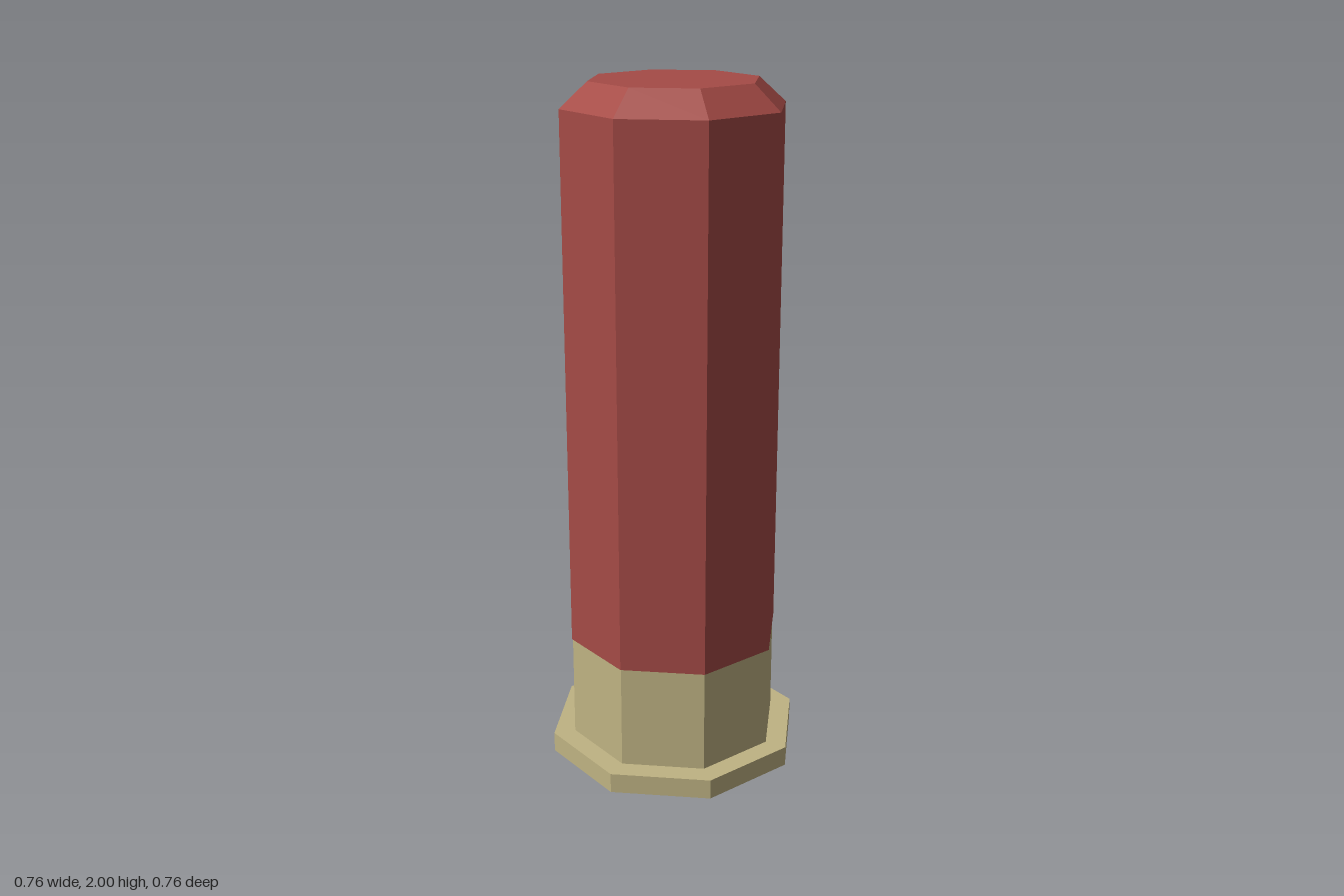
import * as THREE from 'three';

export function createModel() {
  const group = new THREE.Group();
  const red = new THREE.MeshStandardMaterial({ color: 0xa54b46, flatShading: true });
  const brass = new THREE.MeshStandardMaterial({ color: 0xbfb383, flatShading: true });

  // Eight-sided section between two heights
  const section = (name, material, bottomRadius, topRadius, y0, y1, open = false) => {
    const geometry = new THREE.CylinderGeometry(topRadius, bottomRadius, y1 - y0, 8, 1, open);
    const mesh = new THREE.Mesh(geometry, material);
    mesh.name = name;
    mesh.position.y = (y0 + y1) / 2;
    group.add(mesh);
  };

  section('baseRim', brass, 0.38, 0.38, 0, 0.06);
  section('metalCup', brass, 0.315, 0.315, 0.06, 0.37, true);

  // Tube and bevelled crimp form one closed profile
  const profile = [[0, 0.37], [0.318, 0.37], [0.318, 1.93], [0.24, 2], [0, 2]];
  const tube = new THREE.Mesh(
    new THREE.LatheGeometry(profile.map(([r, y]) => new THREE.Vector2(r, y)), 8), red);
  tube.name = 'tubeBody';
  group.add(tube);

  return group;
}
